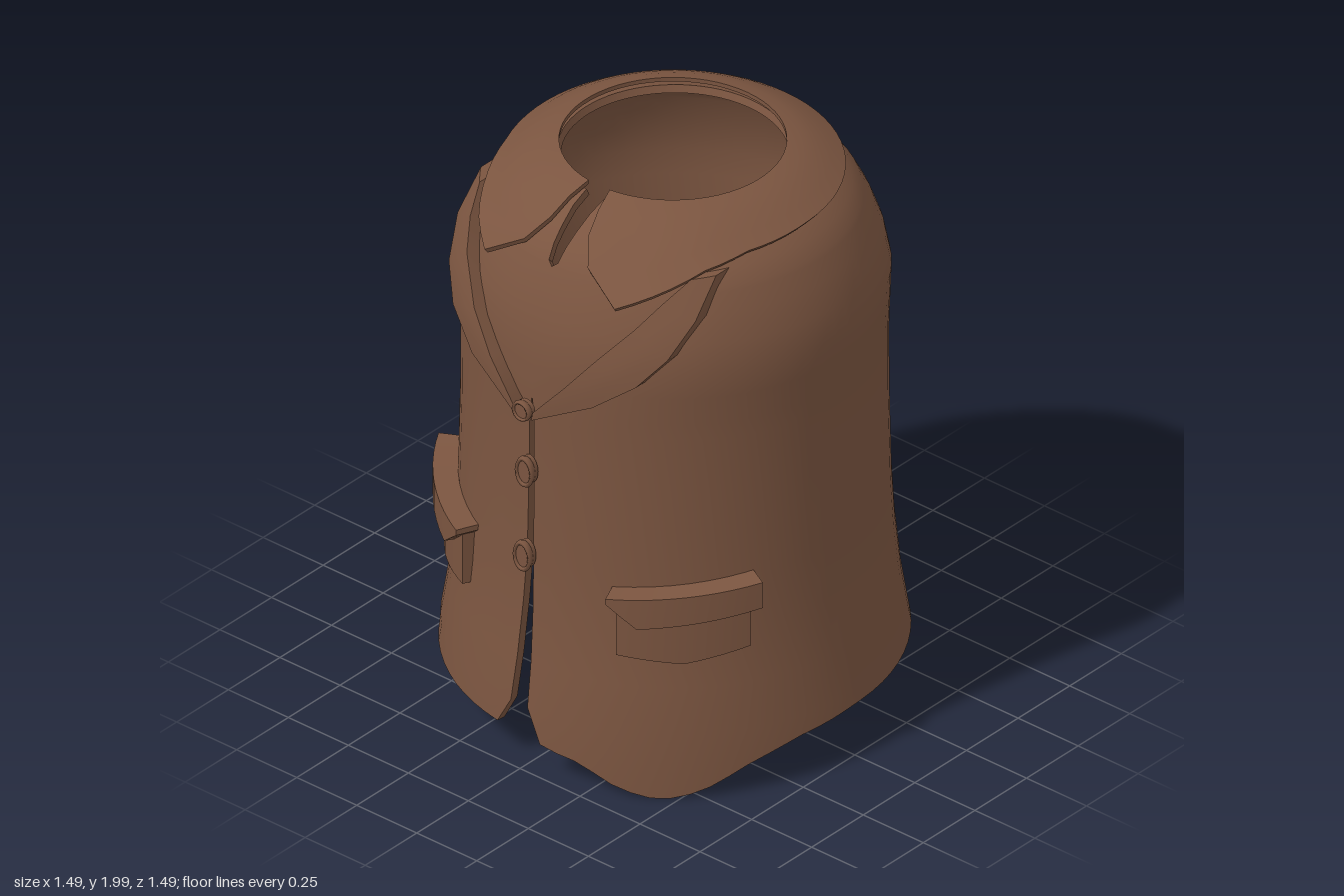
import * as THREE from 'three';
import { toCreasedNormals } from 'three/addons/utils/BufferGeometryUtils.js';

const brown = new THREE.MeshStandardMaterial({ color: 0x7b5540, side: THREE.DoubleSide });
brown.name = 'brown cloth';
const RAD = Math.PI / 180;

// linear interpolation in a list of [key, value]
function lookup(table, k) {
  if (k <= table[0][0]) return table[0][1];
  for (let i = 1; i < table.length; i++) {
    const [a, va] = table[i - 1], [b, vb] = table[i];
    if (k <= b) return va + (vb - va) * (k - a) / (b - a);
  }
  return table[table.length - 1][1];
}

// closed sheet: point(i, j, layer), layer 0 is the outside and 1 the inside
function slab(name, nu, nv, point) {
  const pos = [], idx = [], row = nv + 1, size = (nu + 1) * row;
  for (let l = 0; l < 2; l++)
    for (let i = 0; i <= nu; i++)
      for (let j = 0; j <= nv; j++) pos.push(...point(i, j, l));
  const at = (i, j, l) => l * size + i * row + j;
  const quad = (a, b, c, d) => idx.push(a, b, c, a, c, d);
  for (let i = 0; i < nu; i++) {
    for (let j = 0; j < nv; j++) {
      quad(at(i, j, 0), at(i + 1, j, 0), at(i + 1, j + 1, 0), at(i, j + 1, 0));
      quad(at(i, j, 1), at(i, j + 1, 1), at(i + 1, j + 1, 1), at(i + 1, j, 1));
    }
    quad(at(i, 0, 1), at(i + 1, 0, 1), at(i + 1, 0, 0), at(i, 0, 0));
    quad(at(i, nv, 0), at(i + 1, nv, 0), at(i + 1, nv, 1), at(i, nv, 1));
  }
  for (let j = 0; j < nv; j++) {
    quad(at(0, j, 1), at(0, j, 0), at(0, j + 1, 0), at(0, j + 1, 1));
    quad(at(nu, j, 0), at(nu, j, 1), at(nu, j + 1, 1), at(nu, j + 1, 0));
  }
  const geo = new THREE.BufferGeometry();
  geo.setAttribute('position', new THREE.Float32BufferAttribute(pos, 3));
  geo.setIndex(idx);
  const mesh = new THREE.Mesh(toCreasedNormals(geo, 0.6), brown);
  mesh.name = name;
  return mesh;
}

// body radius by height
const profile = [[0.15, 0.747], [0.24, 0.74], [0.4, 0.715], [0.6, 0.695], [0.78, 0.685], [1.1, 0.678],
  [1.3, 0.677], [1.36, 0.678], [1.46, 0.682], [1.55, 0.685], [1.65, 0.665], [1.74, 0.632], [1.8, 0.602],
  [1.815, 0.594], [1.86, 0.56], [1.9, 0.51], [1.945, 0.44], [1.97, 0.37]];
const radius = y => lookup(profile, y);
// the chest is a little flatter at the front
const dent = (x, y) => lookup([[1.35, 0], [1.6, 0.025], [1.85, 0.02], [1.97, 0]], y) * Math.max(0, 1 - Math.abs(x) / 0.5);

// hem height by angle from the front towards the left side
const hem = [[0, 0.15], [7, 0.12], [17, 0.1], [27, 0.03], [37, 0], [47, 0.03], [60, 0.12], [72, 0.17], [90, 0.195],
  [180, 0.2], [270, 0.155], [353, 0.14], [360, 0.15]];
// half width of the front opening by height, closed at the chest, open at the throat
const gap = [[0.15, 0.09], [0.24, 0.035], [0.78, 0.013], [1.3, 0.009], [1.36, 0], [1.8, 0], [1.815, 0.018], [1.97, 0.04]];

function body() {
  const n = 72;
  return slab('vestBody', n, profile.length - 1, (i, j, l) => {
    let [y, r] = profile[j];
    const w = lookup(gap, y), mid = -0.013;
    const start = (mid + w) / r, end = 2 * Math.PI + (mid - w) / r;
    const t = start + (end - start) * i / n;
    if (j === 0) y = lookup(hem, ((t / RAD) % 360 + 360) % 360);
    const top = THREE.MathUtils.smoothstep(y, 1.6, 1.95);
    r -= l * 0.03 * (1 - 0.7 * top);
    y -= l * 0.025 * top;
    const x = r * Math.sin(t), z = r * Math.cos(t);
    return [x, y, z > 0 ? z - dent(x, y) : z];
  });
}

// fold-over collar with two points at the front
function collar() {
  const n = 60, steps = [0, 0.25, 0.5, 0.75, 1];
  const edgeR = [[24, 0.665], [35, 0.64], [50, 0.59], [65, 0.555], [90, 0.545], [180, 0.535]];
  const edgeY = [[24, 1.77], [35, 1.82], [50, 1.88], [65, 1.905], [90, 1.915], [180, 1.92]];
  const start = [[0, 7], [0.5, 9], [0.75, 13], [1, 24]];
  return slab('collar', n, steps.length - 1, (i, j, l) => {
    const s = steps[steps.length - 1 - j], a = lookup(start, s);
    const deg = a + (360 - 2 * a) * i / n, side = Math.min(deg, 360 - deg);
    const r = 0.36 + (lookup(edgeR, side) - 0.36) * s - l * 0.012 * s;
    const y = 2 - (2 - lookup(edgeY, side)) * s ** 1.5 - l * 0.015;
    return [r * Math.sin(deg * RAD) - 0.008 * (1 - s), y, r * Math.cos(deg * RAD)];
  });
}

// point on the front of the body, raised by off
function onBody(x, y, off) {
  const r = radius(y) + off;
  return [x, y, Math.sqrt(r * r - x * x) - dent(x, y)];
}

// lapel between its fold line and its curved outer edge
function lapel(side) {
  const inner = [[0.04, 1.335], [0.15, 1.46], [0.25, 1.585], [0.35, 1.71], [0.4, 1.79], [0.44, 1.855]];
  const outer = [[0.035, 1.305], [0.25, 1.42], [0.38, 1.52], [0.455, 1.62], [0.495, 1.74], [0.49, 1.86]];
  return slab(side > 0 ? 'leftLapel' : 'rightLapel', 5, 3, (i, j, l) => {
    const t = j / 3, a = inner[i], b = outer[i];
    const x = a[0] + (b[0] - a[0]) * t, y = a[1] + (b[1] - a[1]) * t;
    const p = onBody(x, y, l ? -0.01 : 0.045);
    return [side * p[0] - 0.013, p[1], p[2]];
  });
}

// curved patch wrapped round the body, with top and bottom edges by angle
function patch(name, side, from, to, top, bottom, off) {
  const n = 10;
  return slab(name, n, 1, (i, j, l) => {
    const deg = from + (to - from) * i / n;
    const y = lookup(j ? top : bottom, deg);
    const r = l ? 0.67 : 0.685 + off;
    return [side * r * Math.sin(deg * RAD), y, r * Math.cos(deg * RAD)];
  });
}

function pocket(side) {
  const g = new THREE.Group();
  g.name = side > 0 ? 'leftPocket' : 'rightPocket';
  g.add(patch('pocketPouch', side, 26, 60, [[26, 0.72], [60, 0.76]], [[26, 0.52], [43, 0.5], [60, 0.545]], 0.045));
  g.add(patch('pocketFlap', side, 24, 62, [[24, 0.745], [62, 0.795]], [[24, 0.725], [31.6, 0.645], [62, 0.7]], 0.08));
  return g;
}

// oval button with a raised rim
function button(y, w, h, z) {
  const g = new THREE.Group();
  g.name = 'button';
  const disc = new THREE.Mesh(new THREE.CylinderGeometry(0.9, 0.9, 0.03, 16), brown);
  disc.name = 'buttonDisc';
  disc.rotation.x = Math.PI / 2;
  const rim = new THREE.Mesh(new THREE.TorusGeometry(0.83, 0.17, 6, 16), brown);
  rim.name = 'buttonRim';
  rim.scale.z = 0.07;
  rim.position.z = 0.011;
  g.add(disc, rim);
  g.position.set(-0.013, y, z);
  g.scale.set(w, h, 1);
  return g;
}

export function createModel() {
  const model = new THREE.Group();
  model.name = 'vest';
  model.add(body(), collar());
  for (const side of [1, -1]) model.add(lapel(side), pocket(side));
  model.add(button(1.33, 0.037, 0.037, 0.715), button(1.095, 0.037, 0.058, 0.7), button(0.785, 0.037, 0.058, 0.71));
  return model;
}
